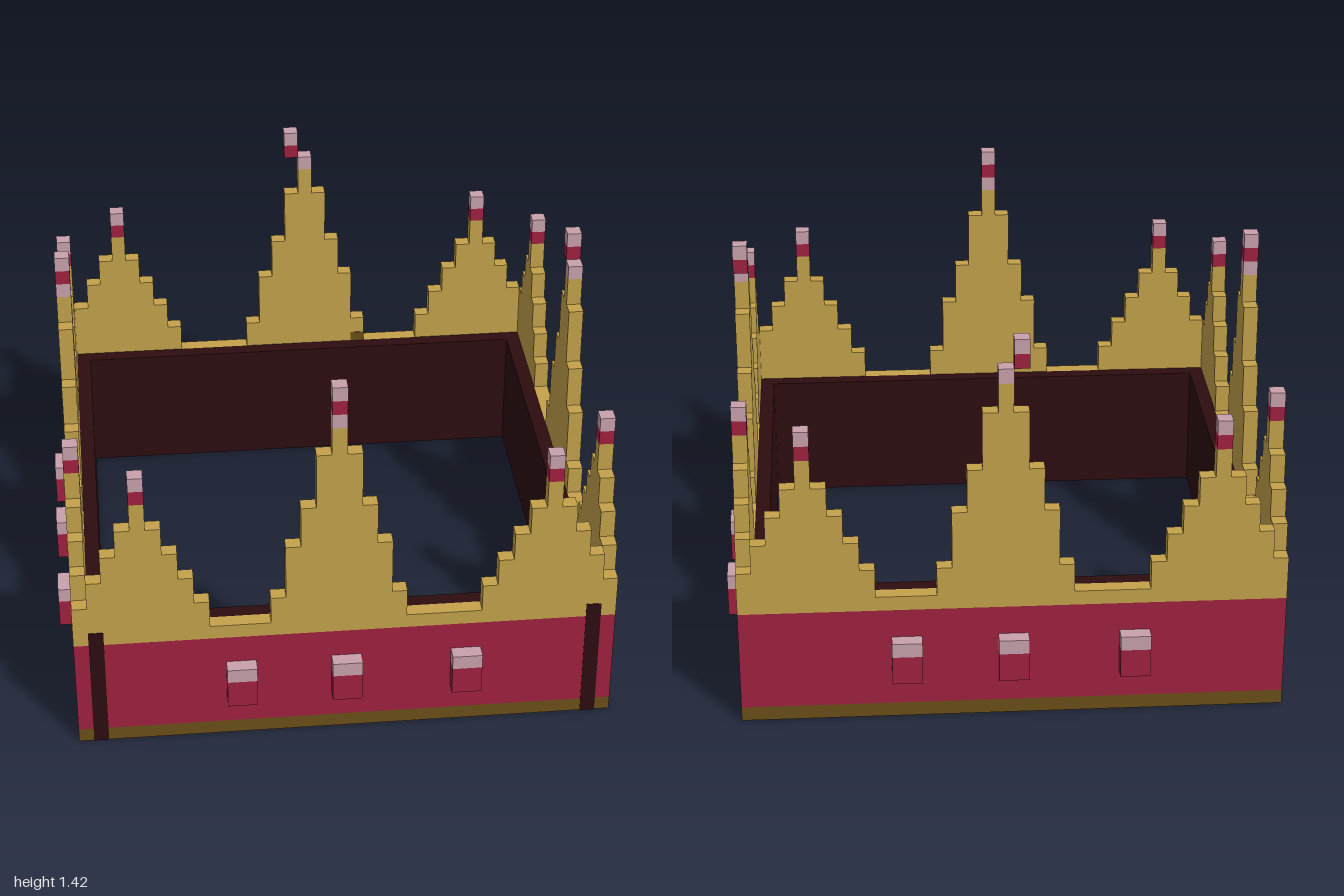
import * as THREE from 'three';

const V = 2 / 38; // one block
const mat = (name, color) => {
  const m = new THREE.MeshStandardMaterial({ color });
  m.name = name;
  return m;
};

export function createModel() {
  const gold = mat('gold', 0xc4a24b);
  const darkGold = mat('dark gold', 0x6b4f18);
  const red = mat('crimson', 0xa02140);
  const pink = mat('pale pink', 0xc9a1ac);
  const lining = mat('dark lining', 0x2d0d10);

  // Box given by its corner ranges, in blocks
  const box = (parent, name, material, [x0, x1], [y0, y1], [z0, z1]) => {
    const mesh = new THREE.Mesh(
      new THREE.BoxGeometry((x1 - x0) * V, (y1 - y0) * V, (z1 - z0) * V), material);
    mesh.position.set((x0 + x1) / 2 * V, (y0 + y1) / 2 * V, (z0 + z1) / 2 * V);
    mesh.name = name;
    parent.add(mesh);
  };

  // Stepped spires: [centre column, heights from the centre outward]
  const spires = [
    [-14, [19, 17, 15, 13, 11]],
    [-1, [24, 22, 18, 15, 11]],
    [13, [19, 17, 15, 13, 11]],
  ];
  const columnHeight = (c) => Math.max(9, ...spires.map(([mid, h]) => h[Math.abs(c - mid)] ?? 9));

  // Stepped outline of the upper wall, one column short so the walls interlock
  const outline = new THREE.Shape();
  outline.moveTo(-18 * V, 8 * V);
  for (let c = -18; c < 17; c++) {
    const y = columnHeight(c) * V;
    outline.lineTo(c * V, y);
    if (columnHeight(c + 1) !== columnHeight(c) || c === 16) outline.lineTo((c + 1) * V, y);
  }
  outline.lineTo(17 * V, 8 * V);
  const crestGeometry = new THREE.ExtrudeGeometry(outline, { depth: V, bevelEnabled: false });

  const makeWall = (name, capShift, striped) => {
    const wall = new THREE.Group();
    wall.name = name;
    const depth = [17, 18];

    // Layered wall with its lining
    box(wall, 'baseTrim', darkGold, [-18, 17], [0, 1], depth);
    box(wall, 'band', red, [-18, 17], [1, 8], depth);
    const crest = new THREE.Mesh(crestGeometry, gold);
    crest.position.z = 17 * V;
    crest.name = 'steppedCrest';
    wall.add(crest);
    box(wall, 'innerLining', lining, [-17, 16], [0, 9], [16, 17]);

    // Jewelled tips
    for (const c of [-14, 13]) {
      box(wall, 'sideTipGem', red, [c, c + 1], [19, 20], depth);
      box(wall, 'sideTipCap', pink, [c, c + 1], [20, 21], depth);
    }
    box(wall, 'middleTipCollar', pink, [-1, 0], [24, 25], depth);
    box(wall, 'middleTipGem', red, [-1 + capShift, capShift], [25, 26], depth);
    box(wall, 'middleTipCap', pink, [-1 + capShift, capShift], [26, 27], depth);

    // Raised gems on the band
    for (const c of [-8, -1, 7]) {
      box(wall, 'bandGem', red, [c, c + 2], [3, 5], [18, 19]);
      box(wall, 'bandGemTop', pink, [c, c + 2], [5, 6], [18, 19]);
    }

    // Dark corner seams
    if (striped) {
      for (const c of [-17, 16]) box(wall, 'cornerSeam', lining, [c, c + 1], [0, 9], [18, 18.04]);
    } else {
      box(wall, 'innerPatch', darkGold, [-5, -4], [9, 9.75], [16.96, 17]);
    }
    return wall;
  };

  // Four walls, each a quarter turn on from the last
  const crown = new THREE.Group();
  crown.name = 'crown';
  [
    ['frontWall', 0, true],
    ['leftWall', 1, true],
    ['backWall', 1, false],
    ['rightWall', 0, false],
  ].forEach(([name, capShift, striped], i) => {
    const wall = makeWall(name, capShift, striped);
    wall.rotation.y = i * Math.PI / 2;
    crown.add(wall);
  });
  return crown;
}
